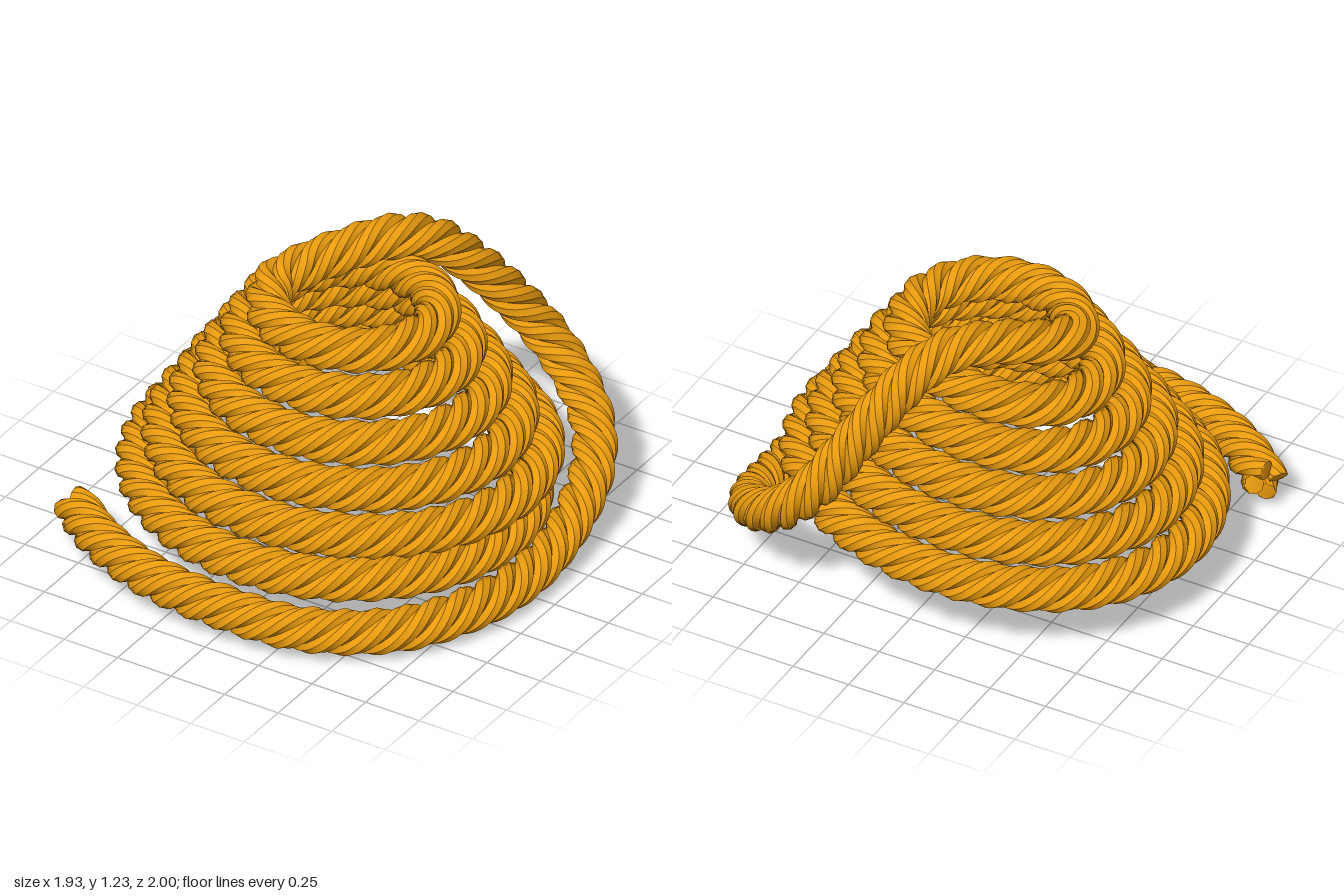
import * as THREE from 'three';

const STRANDS = 4, SEGMENTS = 1700, SIDES = 8;
const LAY_RADIUS = 0.053, STRAND_RADIUS = 0.041, PITCH = 0.52;

// Point on the coil after u turns; each turn lies nearly level and drops from the back to the left
function coilPoint(u) {
  const a = 2 * Math.PI * u;
  const turn = Math.floor(u + 0.4);
  const drop = turn + THREE.MathUtils.smoothstep(u + 0.4 - turn, 0, 0.5);
  const bulge = 0.04 * Math.max(0, Math.cos(a + Math.PI / 4)) ** 4;
  // the lowest turn tightens to pass inside the loose end
  const r = Math.min(0.31 + 0.105 * u, 0.86) + bulge - 0.4 * Math.max(0, u - 5.3);
  return new THREE.Vector3(
    -0.025 - r * Math.cos(a),
    1.148 - 0.155 * (0.15 * u + 0.85 * drop),
    -0.08 + 0.91 * r * Math.sin(a));
}

// Centre line: loose end along the floor, up the back, over the top, then a coil widening downwards
function ropePath() {
  const pts = [
    [-0.87, 0.13, 0.58], [-0.65, 0.14, 0.74], [-0.35, 0.14, 0.86], [0, 0.14, 0.9],
    [0.35, 0.12, 0.84], [0.65, 0.105, 0.63], [0.82, 0.1, 0.32], [0.87, 0.096, 0],
    [0.85, 0.135, -0.32], [0.79, 0.225, -0.6], [0.68, 0.325, -0.78], [0.51, 0.45, -0.89],
    [0.36, 0.6, -0.9], [0.24, 0.79, -0.81], [0.145, 0.955, -0.7], [0.06, 1.08, -0.58],
    [-0.03, 1.135, -0.44], [-0.15, 1.115, -0.29], [-0.27, 1.07, -0.15], [-0.325, 1.04, -0.02],
  ].map((p) => new THREE.Vector3(...p));
  const start = 0.12, end = 5.6, steps = 100;
  for (let i = 0; i <= steps; i++) pts.push(coilPoint(start + (end - start) * i / steps));
  const curve = new THREE.CatmullRomCurve3(pts);
  curve.arcLengthDivisions = 3000;
  return curve;
}

// One strand: a tube wound around the centre line, creased lengthwise, with flat end caps
function strandGeometry(points, frames, length, phase) {
  const centres = [], radials = [];
  for (let i = 0; i <= SEGMENTS; i++) {
    const a = phase - 2 * Math.PI * (length * i / SEGMENTS) / PITCH;
    const e = frames.normals[i].clone().multiplyScalar(Math.cos(a))
      .addScaledVector(frames.binormals[i], Math.sin(a));
    radials.push(e);
    centres.push(points[i].clone().addScaledVector(e, LAY_RADIUS));
  }
  const pos = [], idx = [];
  const row = 2 * SIDES;
  for (let i = 0; i <= SEGMENTS; i++) {
    const t = centres[Math.min(i + 1, SEGMENTS)].clone().sub(centres[Math.max(i - 1, 0)]).normalize();
    const side = t.clone().cross(radials[i]).normalize();
    const out = side.clone().cross(t);
    for (let j = 0; j < SIDES; j++) {
      // each facet has its own pair of corners
      for (const k of [j, j + 1]) {
        const b = 2 * Math.PI * k / SIDES;
        const v = centres[i].clone().addScaledVector(out, STRAND_RADIUS * Math.cos(b))
          .addScaledVector(side, STRAND_RADIUS * Math.sin(b));
        pos.push(v.x, v.y, v.z);
      }
      if (i < SEGMENTS) {
        const a = i * row + 2 * j, b = a + 1, c = a + row, d = b + row;
        idx.push(a, b, c, b, d, c);
      }
    }
  }
  const last = SEGMENTS * row;
  for (let j = 1; j < SIDES - 1; j++) {
    const p = 2 * j, q = 2 * j + 2;
    idx.push(0, q, p, last, last + p, last + q);
  }
  const geo = new THREE.BufferGeometry();
  geo.setAttribute('position', new THREE.Float32BufferAttribute(pos, 3));
  geo.setIndex(idx);
  geo.computeVertexNormals();
  return geo;
}

export function createModel() {
  const group = new THREE.Group();
  group.name = 'coiledRope';
  const material = new THREE.MeshStandardMaterial({ color: 0xe89a0e });

  const curve = ropePath();
  const points = curve.getSpacedPoints(SEGMENTS);
  const frames = curve.computeFrenetFrames(SEGMENTS, false);
  const length = curve.getLength();

  for (let s = 0; s < STRANDS; s++) {
    const geo = strandGeometry(points, frames, length, 2 * Math.PI * s / STRANDS);
    const strand = new THREE.Mesh(geo, material);
    strand.name = 'ropeStrand' + (s + 1);
    group.add(strand);
  }
  return group;
}
